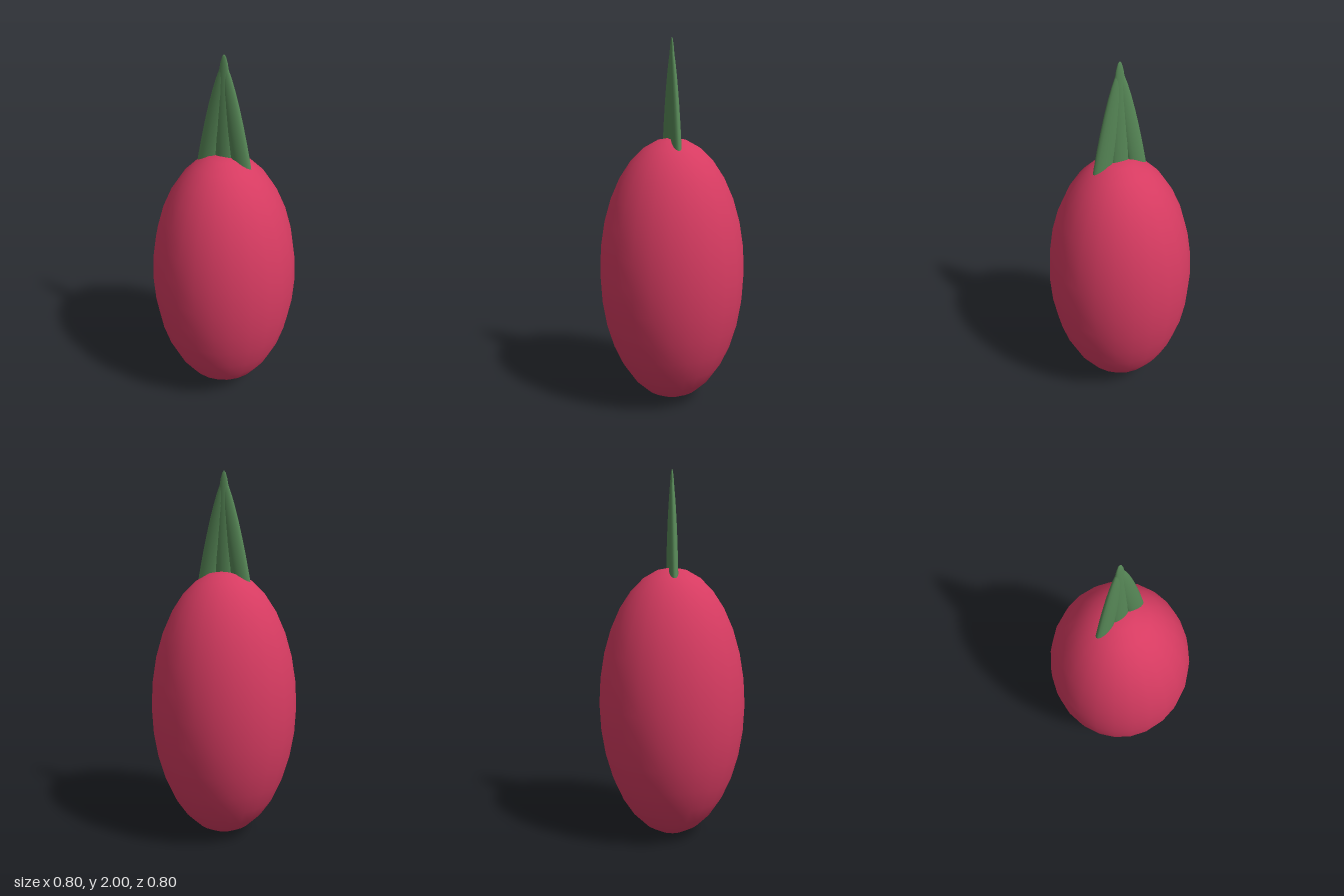
import * as THREE from 'three';

export function createModel() {
  const model = new THREE.Group();
  model.name = 'fruit';

  const red = new THREE.MeshStandardMaterial({ color: 0xd63b61 });
  red.name = 'fruit red';
  const green = new THREE.MeshStandardMaterial({ color: 0x578857 });
  green.name = 'leaf green';

  // Smooth ellipsoid mesh with the given half sizes
  function ellipsoid(name, material, [rx, ry, rz], columns, rows) {
    const geometry = new THREE.SphereGeometry(1, columns, rows);
    geometry.scale(rx, ry, rz);
    const mesh = new THREE.Mesh(geometry, material);
    mesh.name = name;
    model.add(mesh);
    return mesh;
  }

  // Tall oval fruit body
  ellipsoid('body', red, [0.4, 0.743, 0.4], 24, 16).position.y = 0.743;

  // Upright centre leaf
  ellipsoid('centreLeaf', green, [0.05, 0.55, 0.022], 16, 16).position.y = 1.45;

  // Side leaves lean in so their tips meet the centre leaf
  for (const side of [1, -1]) {
    const leaf = ellipsoid(side > 0 ? 'leftLeaf' : 'rightLeaf', green, [0.051, 0.52, 0.024], 16, 16);
    leaf.position.set(side * 0.095, 1.45, 0);
    leaf.rotation.z = side * 0.187;
  }

  return model;
}
